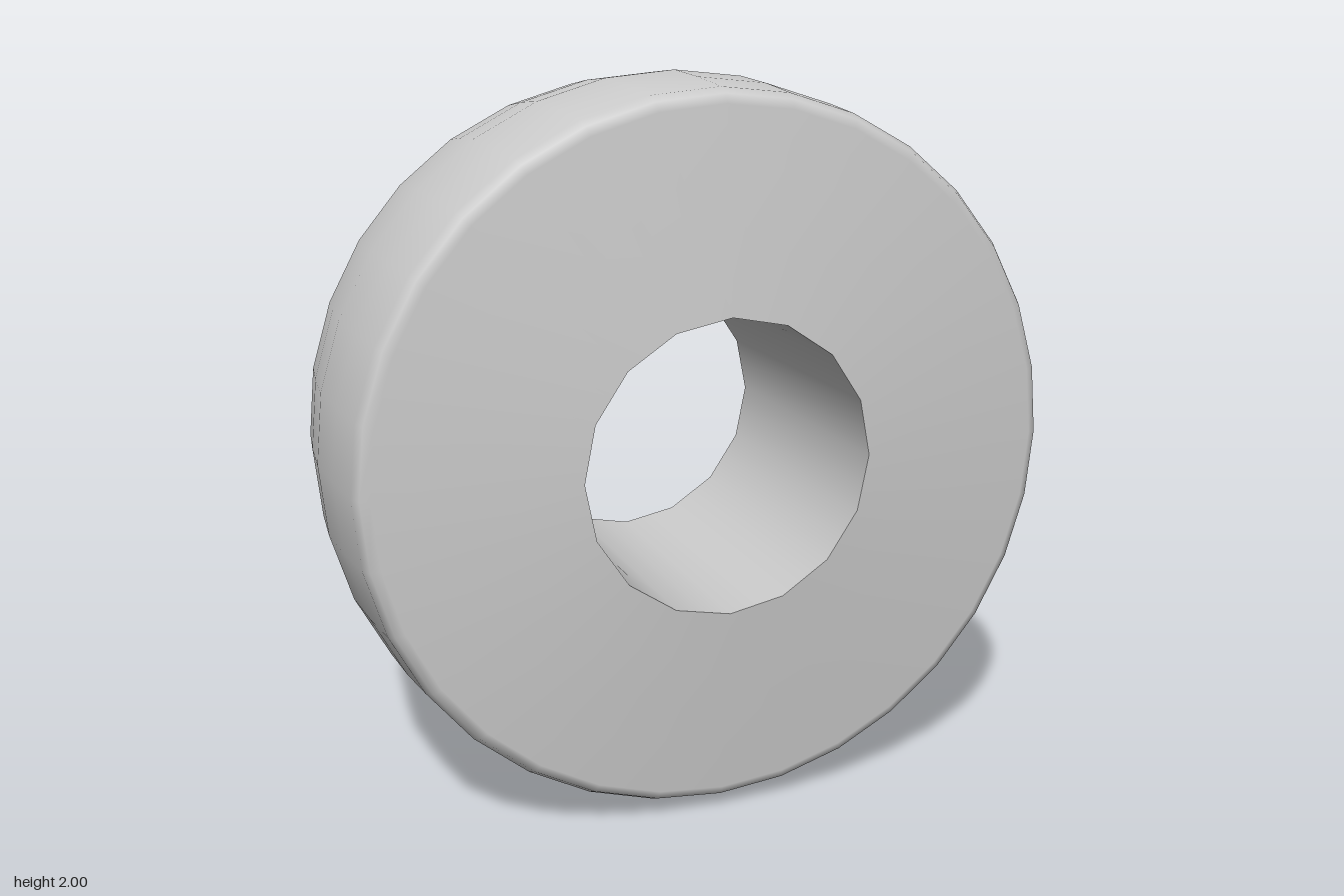
import * as THREE from 'three';

const SIDES = 32;
const BORE = 0.4;

// Revolve a [radius, depth] profile about z; the bore edge becomes a 16-sided hole
function revolve(name, profile, material) {
  const geo = new THREE.LatheGeometry(profile.map(([r, d]) => new THREE.Vector2(r, d)), SIDES);
  const pos = geo.attributes.position;
  const chord = Math.cos((2 * Math.PI) / SIDES);
  for (let i = 0; i < pos.count; i++) {
    const odd = Math.floor(i / profile.length) % 2 === 1;
    if (odd && Math.hypot(pos.getX(i), pos.getZ(i)) < BORE + 0.001) {
      pos.setX(i, pos.getX(i) * chord);
      pos.setZ(i, pos.getZ(i) * chord);
    }
  }
  geo.rotateX(Math.PI / 2);
  const mesh = new THREE.Mesh(geo, material);
  mesh.name = name;
  mesh.position.y = 1;
  return mesh;
}

export function createModel() {
  const group = new THREE.Group();
  group.name = 'wheel';
  const grey = new THREE.MeshStandardMaterial({ color: 0xcccccc });

  // Gently coned sides, rounded shoulders and a crowned tread
  const half = [[BORE, 0.42], [0.93, 0.372], [0.955, 0.36], [0.97, 0.33], [0.988, 0.17]];
  const back = half.map(([r, d]) => [r, -d]);
  group.add(revolve('tyre', [...back, [1, 0], ...half.slice().reverse()], grey));

  // Straight axle hole, facing inward
  group.add(revolve('axleHole', [[BORE, 0.42], [BORE, -0.42]], grey));
  return group;
}
